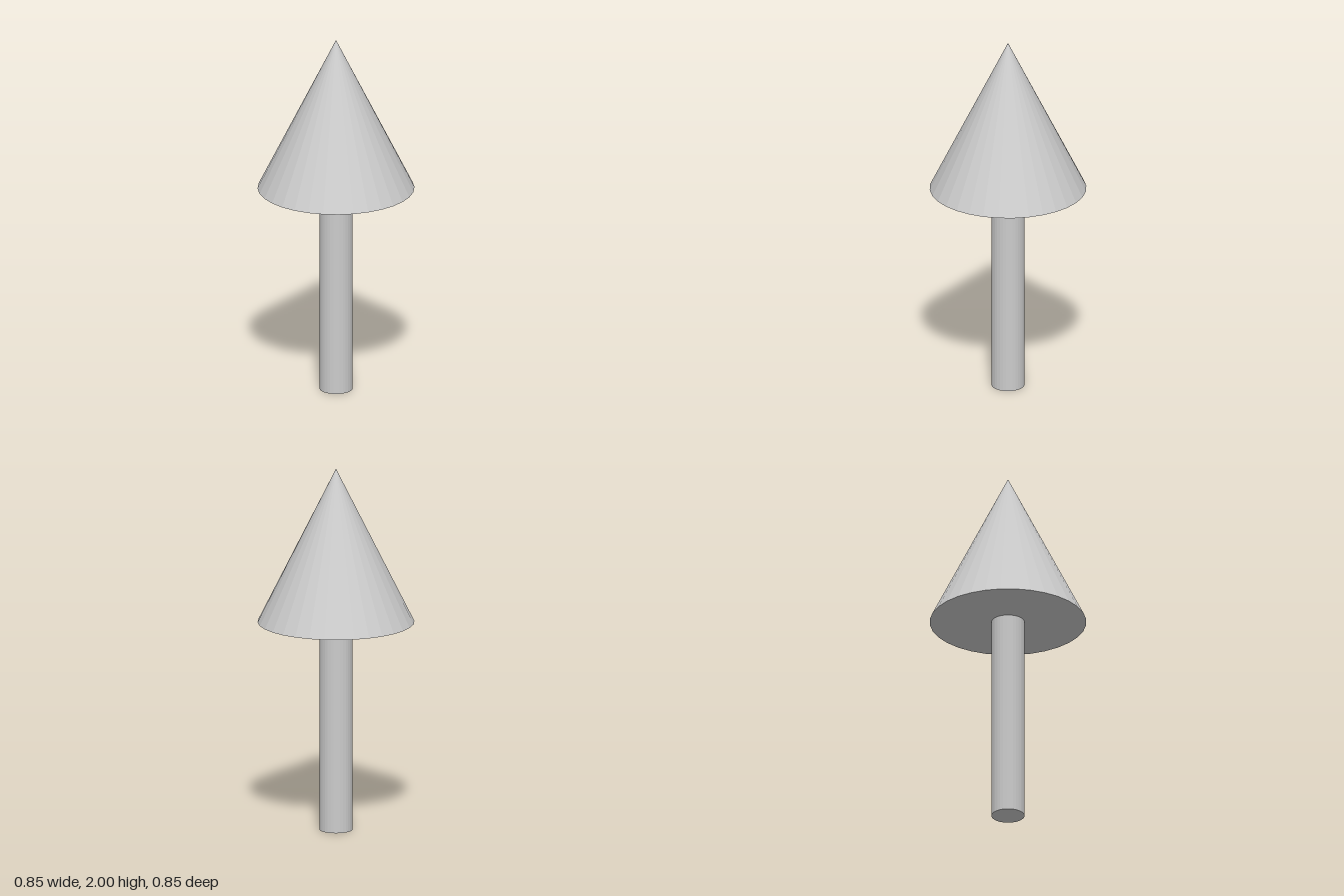
import * as THREE from 'three';

const SIDES = 32;
const HEIGHT = 2;
const HEAD_BASE = 1.152;

export function createModel() {
  const group = new THREE.Group();
  group.name = 'upArrow';
  const material = new THREE.MeshStandardMaterial({ color: 0xcccccc, flatShading: true });

  const addPart = (name, geometry, y) => {
    const mesh = new THREE.Mesh(geometry, material);
    mesh.name = name;
    mesh.position.y = y;
    group.add(mesh);
  };

  // Round shaft standing on the ground
  addPart('shaft', new THREE.CylinderGeometry(0.089, 0.089, HEAD_BASE, SIDES), HEAD_BASE / 2);

  // Faceted pointed head with a closed underside
  addPart('head', new THREE.ConeGeometry(0.423, HEIGHT - HEAD_BASE, SIDES), (HEIGHT + HEAD_BASE) / 2);

  return group;
}
